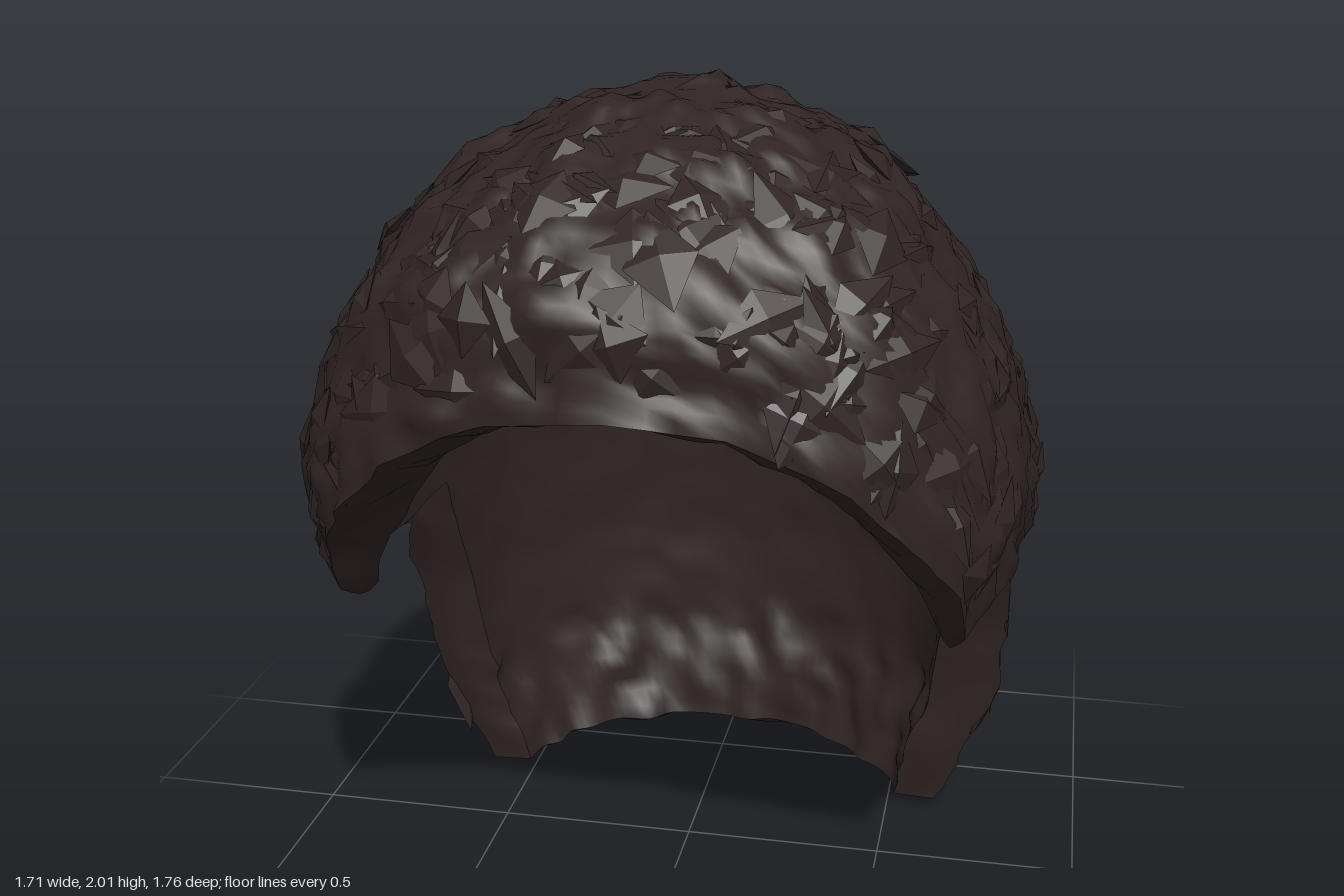
import * as THREE from 'three';
import { mergeGeometries, mergeVertices } from 'three/addons/utils/BufferGeometryUtils.js';

// Horizontal sections: height, centre z, half width, front z, back z
const SECTIONS = [
  [1.99, 0.16, 0, 0.16, 0.16], [1.94, 0.15, 0.24, 0.41, -0.12], [1.83, 0.12, 0.46, 0.67, -0.37],
  [1.63, 0.1, 0.64, 0.86, -0.6], [1.4, 0.08, 0.77, 0.87, -0.75], [1.13, 0.03, 0.84, 0.86, -0.83],
  [0.92, -0.07, 0.82, 0.83, -0.85], [0.6, -0.19, 0.79, 0.7, -0.85], [0.32, -0.23, 0.75, 0.6, -0.82],
  [0.03, -0.25, 0.62, 0.5, -0.71],
];
// Hairline height by angle from the side (0) to the middle of the forehead (90)
const HAIRLINE = [[0, 0.92], [22, 0.93], [33, 0.84], [39, 1.0], [62, 1.28], [78, 1.4], [90, 1.42]];
const TOP = SECTIONS[0][0], EAR = 0.92, NAPE = 0.03, TAU = Math.PI * 2;
const sideAngle = (phi) => THREE.MathUtils.radToDeg(Math.min(phi, Math.PI - phi));

function hairline(phi) {
  if (phi >= Math.PI || phi <= 0) return EAR;
  const a = sideAngle(phi);
  let i = 0;
  while (i < HAIRLINE.length - 2 && a > HAIRLINE[i + 1][0]) i++;
  const [a0, y0] = HAIRLINE[i], [a1, y1] = HAIRLINE[i + 1];
  return y0 + (y1 - y0) * (a - a0) / (a1 - a0);
}

function section(y) {
  let i = 0;
  while (i < SECTIONS.length - 2 && y < SECTIONS[i + 1][0]) i++;
  const s = (h) => Math.sqrt(Math.max(0, TOP - h));
  const t = (s(y) - s(SECTIONS[i][0])) / (s(SECTIONS[i + 1][0]) - s(SECTIONS[i][0]));
  return SECTIONS[i].map((v, k) => v + (SECTIONS[i + 1][k] - v) * t);
}

// Smooth value noise in space, -1 to 1
function hash(x, y, z) {
  const h = Math.sin(x * 127.1 + y * 311.7 + z * 74.7) * 43758.5453;
  return (h - Math.floor(h)) * 2 - 1;
}
function noise(p, f) {
  const c = [p.x * f + 50.3, p.y * f + 50.3, p.z * f + 50.3];
  const b = c.map(Math.floor), w = c.map((v, k) => v - b[k]).map((t) => t * t * (3 - 2 * t));
  let sum = 0;
  for (let k = 0; k < 8; k++) {
    const d = [k & 1, (k >> 1) & 1, k >> 2];
    sum += hash(b[0] + d[0], b[1] + d[1], b[2] + d[2]) *
      d.reduce((m, on, q) => m * (on ? w[q] : 1 - w[q]), 1);
  }
  return sum;
}

const outward = (p) => new THREE.Vector3(p.x, Math.max(0, p.y - 1), p.z).normalize();

// Rounded behind, squarer at the front and sides lower down
function plain(phi, y, scale) {
  const [, zc, w, f, b] = section(y);
  const c = Math.cos(phi), s = Math.sin(phi);
  const square = THREE.MathUtils.clamp((TOP - y) / 0.7, 0, 1);
  const e = s > 0 ? 2 / (2.2 + 0.8 * square) : 1;
  const x = Math.sign(c) * Math.abs(c) ** e * w * scale;
  const z = zc + Math.abs(s) ** e * (s > 0 ? f - zc : b - zc) * scale;
  return new THREE.Vector3(x, y, z);
}
function outer(phi, y) {
  const p = plain(phi, y, 1);
  return p.addScaledVector(outward(p), noise(p, 9) * 0.022 + noise(p, 19) * 0.02);
}
// Inner skin; the hair thins out at the temple points
function inner(phi, y) {
  const temple = phi < Math.PI ? Math.exp(-(((sideAngle(phi) - 31) / 11) ** 2)) : 0;
  const p = plain(phi, y, 0.8 + 0.11 * temple * (1 - THREE.MathUtils.smoothstep(y, 0.9, 1.25)));
  if (y > 1.3) p.y -= 0.2 * ((y - 1.3) / 0.7) ** 2;
  return p.addScaledVector(outward(p), noise(p, 14) * (y < 0.33 ? 0.03 : 0.005));
}
// Ragged edge between the skins, bulging down or forward and flush at its ends
function edge(phi, y, t, along, down, forward) {
  const p = outer(phi, y).lerp(inner(phi, y), t);
  const k = Math.sin(t * Math.PI) * Math.min(1, 8 * along, 8 * (1 - along));
  p.y -= down * k * (1 + noise(p, 16));
  p.z += forward * k;
  return p;
}

// Grid of points fn(u, v); the front side is du x dv
function grid(nu, nv, fn) {
  const pos = [], idx = [];
  for (let j = 0; j <= nv; j++)
    for (let i = 0; i <= nu; i++) pos.push(...fn(i / nu, j / nv).toArray());
  for (let j = 0; j < nv; j++)
    for (let i = 0; i < nu; i++) {
      const a = j * (nu + 1) + i, b = a + nu + 1;
      idx.push(a, a + 1, b, a + 1, b + 1, b);
    }
  const g = new THREE.BufferGeometry();
  g.setAttribute('position', new THREE.Float32BufferAttribute(pos, 3));
  g.setIndex(idx);
  return g;
}
function weld(parts) {
  const g = mergeVertices(mergeGeometries(parts), 1e-4);
  g.computeVertexNormals();
  return g;
}

// Crown down to the hairline, plus the nape panel behind the ears
function skin(point, flip) {
  const turn = (u) => (flip ? 1 - u : u);
  const crown = grid(128, 36, (u, v) => {
    const phi = turn(u) * TAU;
    return point(phi, TOP - (TOP - hairline(phi)) * v ** 1.6);
  });
  const nape = grid(64, 24, (u, v) => point(Math.PI * (1 + turn(u)), EAR + (NAPE - EAR) * v));
  return weld([crown, nape]);
}

// Angular tufts, almost flush with the outer skin
function tufts() {
  let seed = 7;
  const rnd = () => (seed = (seed * 16807) % 2147483647) / 2147483647;
  const list = [];
  for (let i = 0; i < 420; i++) {
    const phi = rnd() * TAU;
    const low = (phi > Math.PI ? NAPE : hairline(phi)) + 0.1;
    const y = 1.95 - (1.95 - low) * rnd();
    const p = outer(phi, y), base = plain(phi, y, 1);
    const side = plain(phi + 0.02, y, 1).sub(base).normalize();
    const n = side.clone().cross(plain(phi, y - 0.02, 1).sub(base)).normalize();
    const up = n.clone().cross(side);
    const g = new THREE.OctahedronGeometry(1);
    g.scale(0.04 + 0.05 * rnd(), 0.06 + 0.07 * rnd(), 0.022);
    g.rotateX((rnd() - 0.5) * 0.3).rotateZ(rnd() * TAU);
    g.applyMatrix4(new THREE.Matrix4().makeBasis(side, up, n).setPosition(p.addScaledVector(n, -0.01)));
    list.push(g);
  }
  return mergeGeometries(list);
}

export function createModel() {
  const model = new THREE.Group();
  model.name = 'hair';
  const darkBrown = new THREE.MeshStandardMaterial({ color: 0x302424 });
  darkBrown.name = 'darkBrown';
  const add = (name, geometry) => {
    const mesh = new THREE.Mesh(geometry, darkBrown);
    mesh.name = name;
    model.add(mesh);
  };
  add('outerHair', skin(outer, false));
  add('innerHair', skin(inner, true));
  add('hairTufts', tufts());
  add('fringeEdge', weld([grid(64, 4, (u, v) => edge(u * Math.PI, hairline(u * Math.PI), v, u, 0.02, 0))]));
  add('napeEdge', weld([grid(64, 4, (u, v) => edge(Math.PI * (1 + u), NAPE, v, u, 0.015, 0))]));
  // Forward-facing edges below the ears
  const neckY = (v) => EAR + (NAPE - EAR) * v;
  add('leftNeckEdge', weld([grid(4, 24, (u, v) => edge(0, neckY(v), u, v, 0, 0.015))]));
  add('rightNeckEdge', weld([grid(4, 24, (u, v) => edge(Math.PI, neckY(v), 1 - u, v, 0, 0.015))]));
  return model;
}
